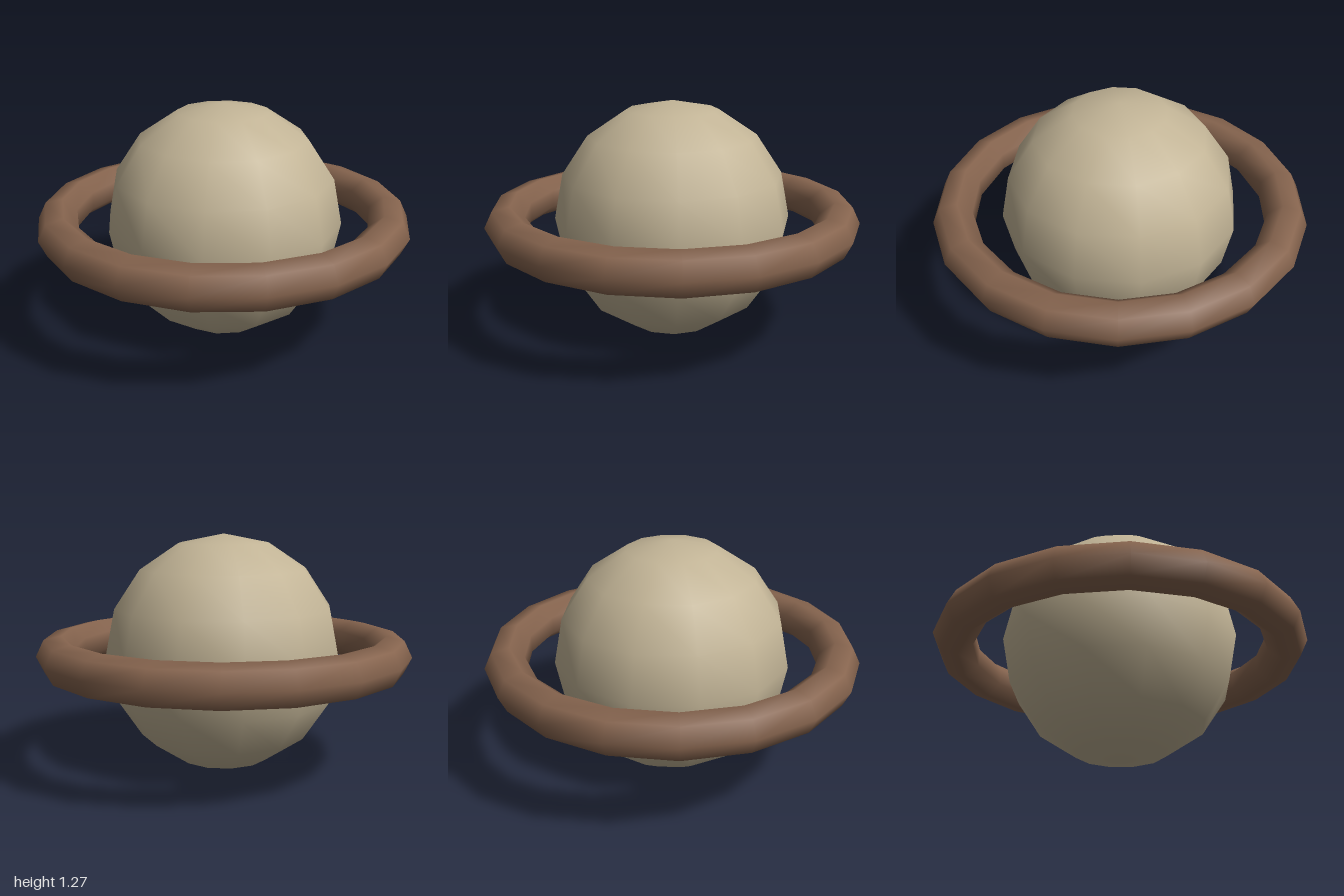
import * as THREE from 'three';

const BODY_RADIUS = 0.635;
const RING_RADIUS = 0.889;
const RING_TUBE = 0.111;

function addPart(group, name, geometry, color) {
  const mesh = new THREE.Mesh(geometry, new THREE.MeshStandardMaterial({ color }));
  mesh.name = name;
  mesh.position.y = BODY_RADIUS;
  group.add(mesh);
  return mesh;
}

export function createModel() {
  const group = new THREE.Group();
  group.name = 'ringedPlanet';

  // Coarse, smooth-shaded globe resting on the ground
  addPart(group, 'planet', new THREE.SphereGeometry(BODY_RADIUS, 12, 8), 0xc2b496);

  // Ring lying flat around the equator, seven-sided in section
  const ring = addPart(group, 'ring', new THREE.TorusGeometry(RING_RADIUS, RING_TUBE, 7, 18), 0x86644e);
  ring.rotation.x = Math.PI / 2;

  return group;
}
